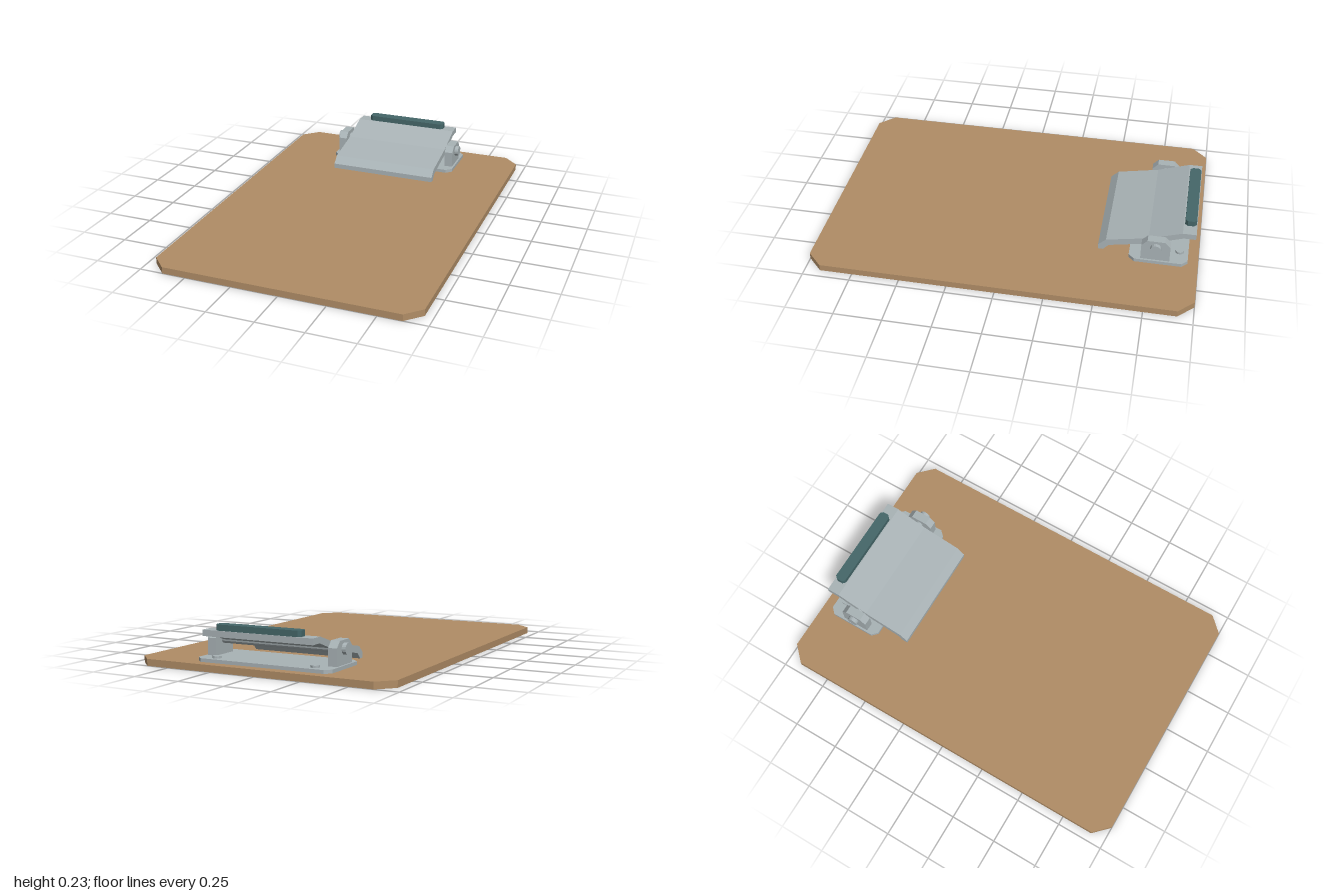
import * as THREE from 'three';

const mat = (color) => new THREE.MeshStandardMaterial({ color, flatShading: true });

// Shape from [u, v] corner points.
const polygon = (points) => new THREE.Shape(points.map(([u, v]) => new THREE.Vector2(u, v)));
const extrude = (points, depth) =>
  new THREE.ExtrudeGeometry(polygon(points), { depth, bevelEnabled: false });

// Flat slab with clipped corners: w along x, l along z, from y0 to y1, centred on z.
function slab(w, l, cut, y0, y1, z) {
  const x = w / 2, d = l / 2;
  const points = [
    [-x + cut, -d], [x - cut, -d], [x, -d + cut], [x, d - cut],
    [x - cut, d], [-x + cut, d], [-x, d - cut], [-x, -d + cut],
  ];
  return extrude(points, y1 - y0).rotateX(-Math.PI / 2).translate(0, y0, z);
}

// Side profile of [distance towards the back, height], running from x0 to x1.
const sideProfile = (points, x0, x1) =>
  extrude(points, x1 - x0).rotateY(Math.PI / 2).translate(x0, 0, 0);

export function createModel() {
  const model = new THREE.Group();
  const wood = mat(0xb08d66);
  const metal = mat(0xa9b3b6);
  const rubber = mat(0x456769);

  function add(name, geometry, material, parent = model) {
    const mesh = new THREE.Mesh(geometry, material);
    mesh.name = name;
    parent.add(mesh);
    return mesh;
  }

  add('board', slab(1.41, 2, 0.08, 0, 0.035, 0), wood);

  const clip = new THREE.Group();
  clip.name = 'clip';
  model.add(clip);

  add('basePlate', slab(0.746, 0.305, 0.03, 0.035, 0.053, -0.793), metal, clip);

  // Bent lever: pressing lip, sloping body and raised tail
  add('lever', sideProfile([
    [0.475, 0.035], [0.503, 0.035], [0.53, 0.066], [0.742, 0.109], [0.912, 0.169],
    [0.975, 0.169], [0.975, 0.2], [0.905, 0.2], [0.735, 0.143], [0.515, 0.1], [0.475, 0.062],
  ], -0.305, 0.305), metal, clip);

  add('thumbGrip', slab(0.472, 0.06, 0.014, 0.2, 0.23, -0.941), rubber, clip);

  // Hinge shaft through both brackets
  const hingeY = 0.13, hingeZ = -0.777;
  add('hingePin', new THREE.CylinderGeometry(0.023, 0.023, 0.72, 16)
    .rotateZ(Math.PI / 2).translate(0, hingeY, hingeZ), metal, clip);

  for (const side of [-1, 1]) {
    const label = side > 0 ? 'left' : 'right';
    const centre = side * 0.339;

    // Upright bracket with clipped top corners
    add(label + 'Bracket', sideProfile([
      [0.702, 0.053], [0.852, 0.053], [0.852, 0.14], [0.822, 0.172],
      [0.732, 0.172], [0.702, 0.14],
    ], centre - 0.0235, centre + 0.0235), metal, clip);

    add(label + 'PinHead', new THREE.CylinderGeometry(0.029, 0.029, 0.022, 16)
      .rotateZ(Math.PI / 2).translate(side * 0.372, hingeY, hingeZ), metal, clip);

    add(label + 'Rivet', new THREE.CylinderGeometry(0.022, 0.022, 0.012, 12)
      .translate(side * 0.275, 0.058, -0.9), metal, clip);
  }

  return model;
}
